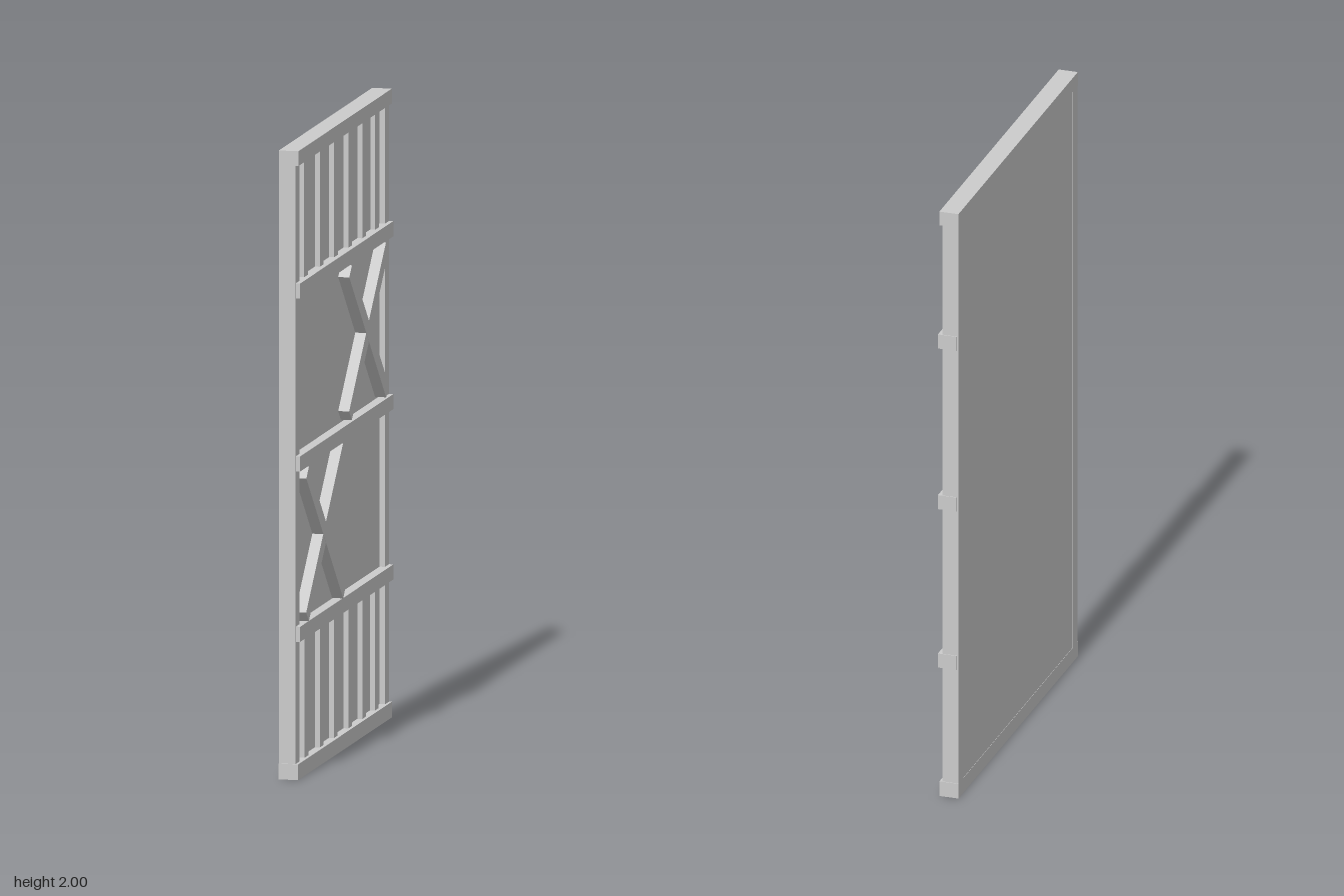
import * as THREE from 'three';

const material = new THREE.MeshStandardMaterial({ color: 0xcccccc, flatShading: true });

export function createModel() {
  const door = new THREE.Group();
  door.name = 'plankDoor';

  // Box given by its limits on each axis
  function board(name, [x0, x1], [y0, y1], [z0, z1]) {
    const mesh = new THREE.Mesh(new THREE.BoxGeometry(x1 - x0, y1 - y0, z1 - z0), material);
    mesh.position.set((x0 + x1) / 2, (y0 + y1) / 2, (z0 + z1) / 2);
    mesh.name = name;
    door.add(mesh);
    return mesh;
  }

  // Backing sheet and the two upright edge posts
  board('backSheet', [-0.035, 0], [0.01, 1.99], [-0.57, 0.57]);
  board('frontStile', [-0.036, 0.018], [0.01, 1.99], [0.535, 0.58]);
  board('backStile', [-0.036, 0.018], [0.01, 1.99], [-0.582, -0.535]);

  // Full-thickness end rails
  board('topRail', [-0.036, 0.027], [1.953, 2], [-0.585, 0.582]);
  board('bottomRail', [-0.036, 0.027], [0, 0.05], [-0.585, 0.585]);

  // Cross rails
  for (const y of [0.463, 1.005, 1.555])
    board('crossRail', [-0.03, 0.032], [y - 0.024, y + 0.024], [-0.585, 0.579]);

  // Narrow battens in the top and bottom panels
  for (const z of [0.443, 0.248, 0.07, -0.108, -0.283, -0.443])
    board('upperBatten', [-0.005, 0.016], [1.57, 1.96], [z - 0.023, z + 0.023]);
  for (const z of [0.438, 0.248, 0.072, -0.108, -0.283, -0.438])
    board('lowerBatten', [-0.005, 0.016], [0.04, 0.45], [z - 0.023, z + 0.023]);

  // Diagonal braces, crossed in pairs
  for (const [y, z] of [[1.283, -0.266], [0.735, 0.27]]) {
    for (const side of [-1, 1]) {
      const brace = board('diagonalBrace', [-0.002, side > 0 ? 0.036 : 0.0355],
        [y - 0.325, y + 0.325], [z - 0.0235, z + 0.0235]);
      brace.rotation.x = side * Math.PI / 4;
    }
  }
  return door;
}
